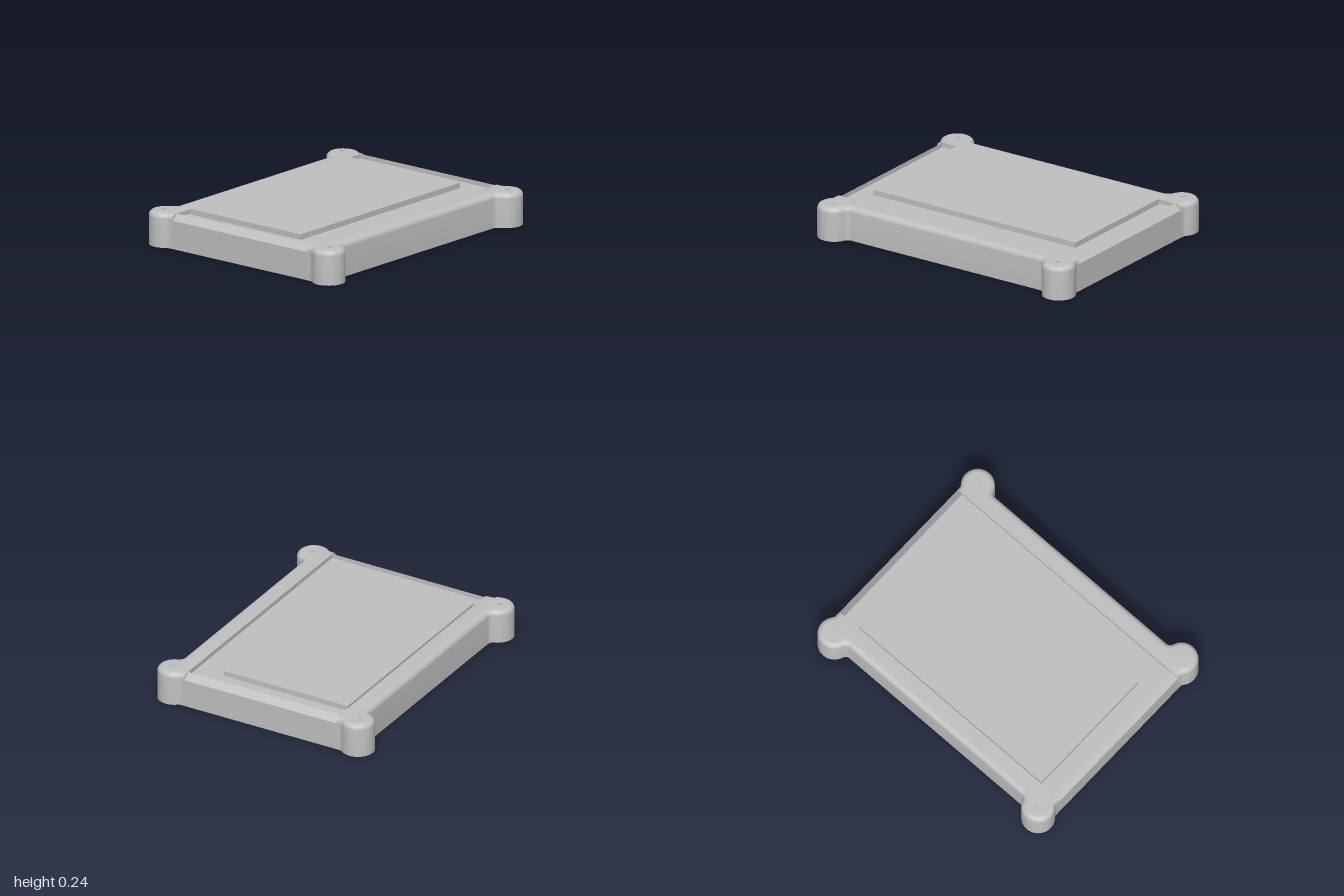
import * as THREE from 'three';
import { toCreasedNormals } from 'three/addons/utils/BufferGeometryUtils.js';

const WALL_X = 0.57, SIDE_X = 0.70, END_Z = 0.965, TOP = 0.23, FLOOR = 0.2;
const POST = { x: 0.69, z: 0.89, r: 0.11 }, BLEND = 0.04, ROUND = 0.035;

// Outline of one side rail with its two round corner posts, inset by d
function railOutline(d) {
  const reach = POST.r + BLEND;
  const f1z = END_Z + BLEND, f1x = POST.x - Math.sqrt(reach ** 2 - (f1z - POST.z) ** 2);
  const f2x = SIDE_X + BLEND, f2z = POST.z - Math.sqrt(reach ** 2 - (f2x - POST.x) ** 2);
  const a1 = Math.atan2(POST.z - f1z, POST.x - f1x);
  const a2 = Math.atan2(POST.z - f2z, POST.x - f2x);
  const half = [[WALL_X, END_Z - d]];
  const arc = (cx, cz, r, from, to, n) => {
    for (let i = 0; i <= n; i++) {
      const a = from + (to - from) * i / n;
      half.push([cx + r * Math.cos(a), cz + r * Math.sin(a)]);
    }
  };
  arc(f1x, f1z, BLEND + d, -Math.PI / 2, a1, 6);
  half.pop();
  arc(POST.x, POST.z, POST.r - d, a1 + Math.PI, a2 - Math.PI, 28);
  half.pop();
  arc(f2x, f2z, BLEND + d, a2, Math.PI, 8);
  return half.concat(half.slice().reverse().map(([x, z]) => [x, -z]));
}

// Stacked outlines: straight sides, then a rounded top edge
function railGeometry() {
  const levels = [[0, 0]];
  const steps = 7;
  for (let i = 0; i <= steps; i++) {
    const a = i / steps * Math.PI / 2;
    levels.push([ROUND * (1 - Math.cos(a)), TOP - ROUND + ROUND * Math.sin(a)]);
  }
  const pos = [], index = [];
  const loops = levels.map(([d]) => railOutline(d));
  const n = loops[0].length;
  loops.forEach((loop, l) => loop.forEach(([x, z]) => pos.push(x, levels[l][1], z)));
  for (let l = 0; l < loops.length - 1; l++) {
    for (let i = 0; i < n; i++) {
      const a = l * n + i, b = l * n + (i + 1) % n;
      index.push(a, b, b + n, a, b + n, a + n);
    }
  }
  const cap = (l, flip) => {
    const pts = loops[l].map(([x, z]) => new THREE.Vector2(x, -z));
    for (const [a, b, c] of THREE.ShapeUtils.triangulateShape(pts, [])) {
      const o = l * n;
      if (flip) index.push(o + a, o + c, o + b);
      else index.push(o + a, o + b, o + c);
    }
  };
  cap(0, true);
  cap(loops.length - 1, false);
  const g = new THREE.BufferGeometry();
  g.setAttribute('position', new THREE.Float32BufferAttribute(pos, 3));
  g.setIndex(index);
  return toCreasedNormals(g, 0.6);
}

export function createModel() {
  const group = new THREE.Group();
  const grey = new THREE.MeshStandardMaterial({ color: 0xc0c0c0 });
  grey.name = 'light grey';
  const add = (name, geometry, x = 0, y = 0, z = 0) => {
    const m = new THREE.Mesh(geometry, grey);
    m.name = name;
    m.position.set(x, y, z);
    group.add(m);
    return m;
  };

  // Side rails with corner posts
  const rail = railGeometry();
  add('leftRail', rail);
  add('rightRail', rail).rotation.y = Math.PI;

  // Recessed tray with sloped lips at front and back
  const ridge = 0.92;
  const profile = new THREE.Shape([
    [-END_Z, 0], [END_Z, 0], [END_Z, 0.19], [ridge, TOP], [ridge, FLOOR],
    [-ridge, FLOOR], [-ridge, TOP], [-END_Z, 0.19],
  ].map(([z, y]) => new THREE.Vector2(z, y)));
  const tray = new THREE.ExtrudeGeometry(profile, { depth: 2 * WALL_X, bevelEnabled: false });
  tray.translate(0, 0, -WALL_X).rotateY(Math.PI / 2);
  add('tray', tray);

  // Raised panel, set towards one side
  const panelTop = 0.237, h = panelTop - FLOOR;
  add('panel', new THREE.BoxGeometry(0.935, h, 1.6), -0.0925, FLOOR + h / 2, 0);

  // Small pins on the corner posts
  const pin = new THREE.CylinderGeometry(0.013, 0.013, 0.018, 20);
  for (const sx of [-1, 1]) {
    for (const sz of [-1, 1]) add('cornerPin', pin, sx * 0.70, 0.229, sz * 0.89);
  }
  return group;
}
